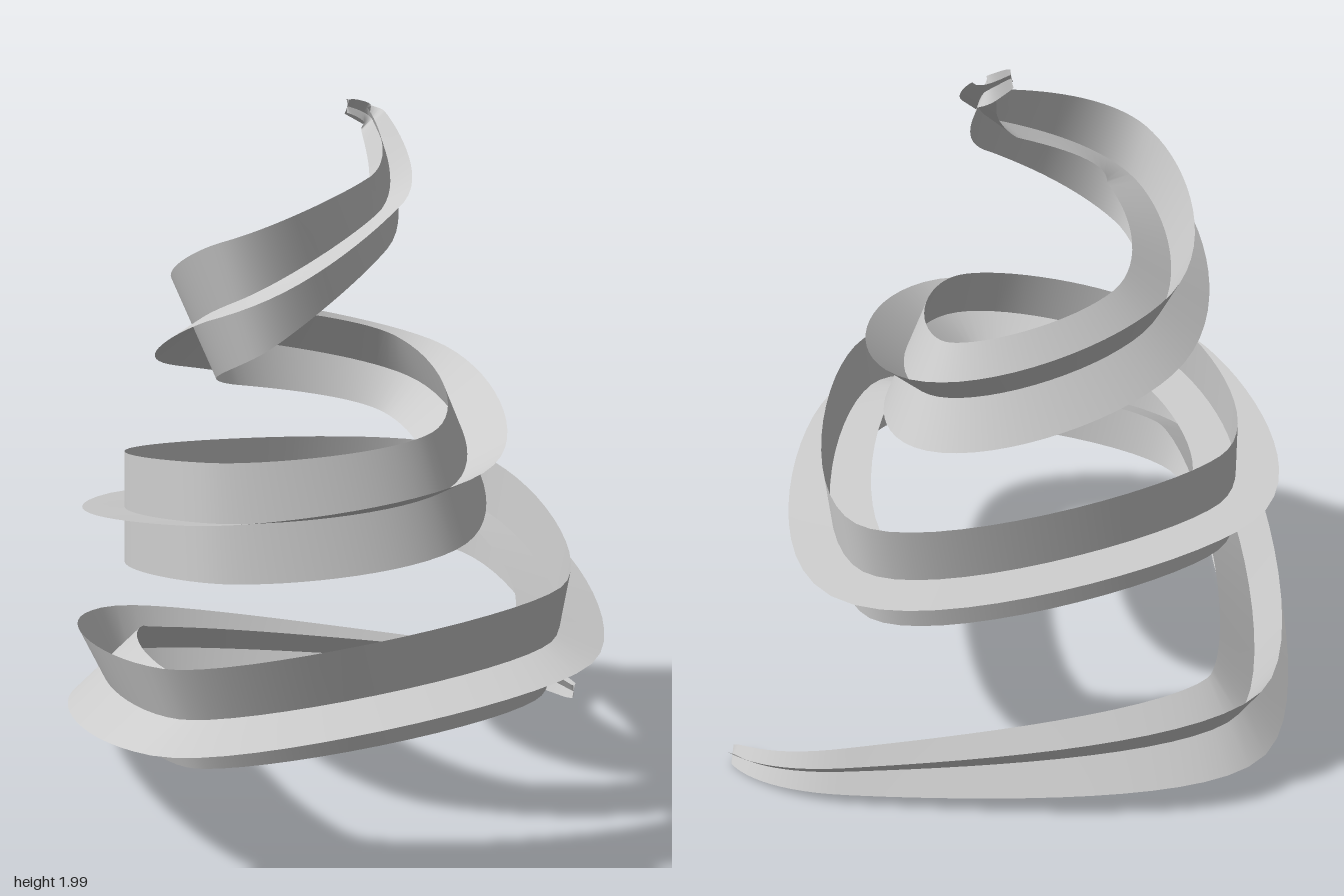
import * as THREE from 'three';

const STRETCH = 1.35; // vertical stretch of the whole spiral
const ARM = 0.122; // half width of a blade
const STEPS = 16; // sections per span

// path keys: x, y, z, size, roll in degrees, roundness of the bend
const KEYS = [
  [0.365, 0.035, -0.89, 0.18, 55, 0.05],
  [0.0, 0.105, -0.785, 0.45, 48, 0.17],
  [-0.795, 0.24, 0.0, 1, 38, 0.13],
  [0.0, 0.475, 0.81, 1, 22, 0.14],
  [0.775, 0.64, 0.2, 1, 13, 0.14],
  [0.04, 0.71, -0.64, 1, 5, 0.18],
  [-0.595, 0.805, 0.14, 1, 0, 0.17],
  [-0.08, 0.92, 0.53, 1, -9, 0.17],
  [0.455, 1.01, 0.18, 1, -23, 0.21],
  [0.03, 1.155, -0.365, 1, -36, 0.22],
  [-0.37, 1.31, 0.06, 1, -52, 0.24],
  [-0.04, 1.515, 0.45, 1, -78, 0.23],
  [0.215, 1.725, 0.16, 0.62, -103, 0.24],
  [0.06, 1.94, -0.09, 0.3, -125, 0.12],
  [0.005, 1.98, -0.045, 0.16, -132, 0.1],
];

// smooth path of Bezier spans, with a flattened climb at every key
function pathSpans() {
  const points = KEYS.map(([x, y, z]) => new THREE.Vector3(x, y / STRETCH, z));
  const last = points.length - 1;
  const handles = points.map((p, i) => new THREE.Vector3()
    .subVectors(points[Math.min(i + 1, last)], points[Math.max(i - 1, 0)])
    .multiplyScalar(KEYS[i][5])
    .multiply(new THREE.Vector3(1, 0.6, 1)));
  return points.slice(0, last).map((p, i) => new THREE.CubicBezierCurve3(
    p, p.clone().add(handles[i]), points[i + 1].clone().sub(handles[i + 1]), points[i + 1]));
}

// one flat blade swept along the path, edge to edge through the centre line
function bladeGeometry(spans, shape, turn) {
  const count = spans.length * STEPS;
  const pos = [], index = [];
  for (let i = 0; i <= count; i++) {
    const s = Math.min(Math.floor(i / STEPS), spans.length - 1);
    const u = i / STEPS - s;
    const p = spans[s].getPoint(u), tangent = spans[s].getTangent(u);
    const { x: size, y: roll } = shape.getPoint(i / count);
    const out = new THREE.Vector3(-tangent.z, 0, tangent.x).normalize();
    const up = new THREE.Vector3().crossVectors(out, tangent).normalize();
    const a = roll + turn;
    const dir = out.multiplyScalar(Math.sin(a)).addScaledVector(up, Math.cos(a));
    for (const side of [-1, 0, 1]) {
      const v = p.clone().addScaledVector(dir, side * ARM * size);
      pos.push(v.x, v.y * STRETCH, v.z);
    }
    if (i === count) continue;
    for (let j = 0; j < 2; j++) {
      const k = i * 3 + j;
      index.push(k, k + 3, k + 1, k + 1, k + 3, k + 4);
    }
  }
  const g = new THREE.BufferGeometry();
  g.setAttribute('position', new THREE.Float32BufferAttribute(pos, 3));
  g.setIndex(index);
  g.computeVertexNormals();
  return g;
}

export function createModel() {
  const model = new THREE.Group();
  model.name = 'spiralGarland';
  const material = new THREE.MeshStandardMaterial({ color: 0xcccccc, side: THREE.DoubleSide });

  const spans = pathSpans();
  const shape = new THREE.CatmullRomCurve3(
    KEYS.map((k) => new THREE.Vector3(k[3], THREE.MathUtils.degToRad(k[4]), 0)), false, 'catmullrom', 0.5);

  // two crossed blades form the twisting ribbon
  [['uprightBlade', 0], ['flatBlade', Math.PI / 2]].forEach(([name, turn]) => {
    const mesh = new THREE.Mesh(bladeGeometry(spans, shape, turn), material);
    mesh.name = name;
    model.add(mesh);
  });
  return model;
}
